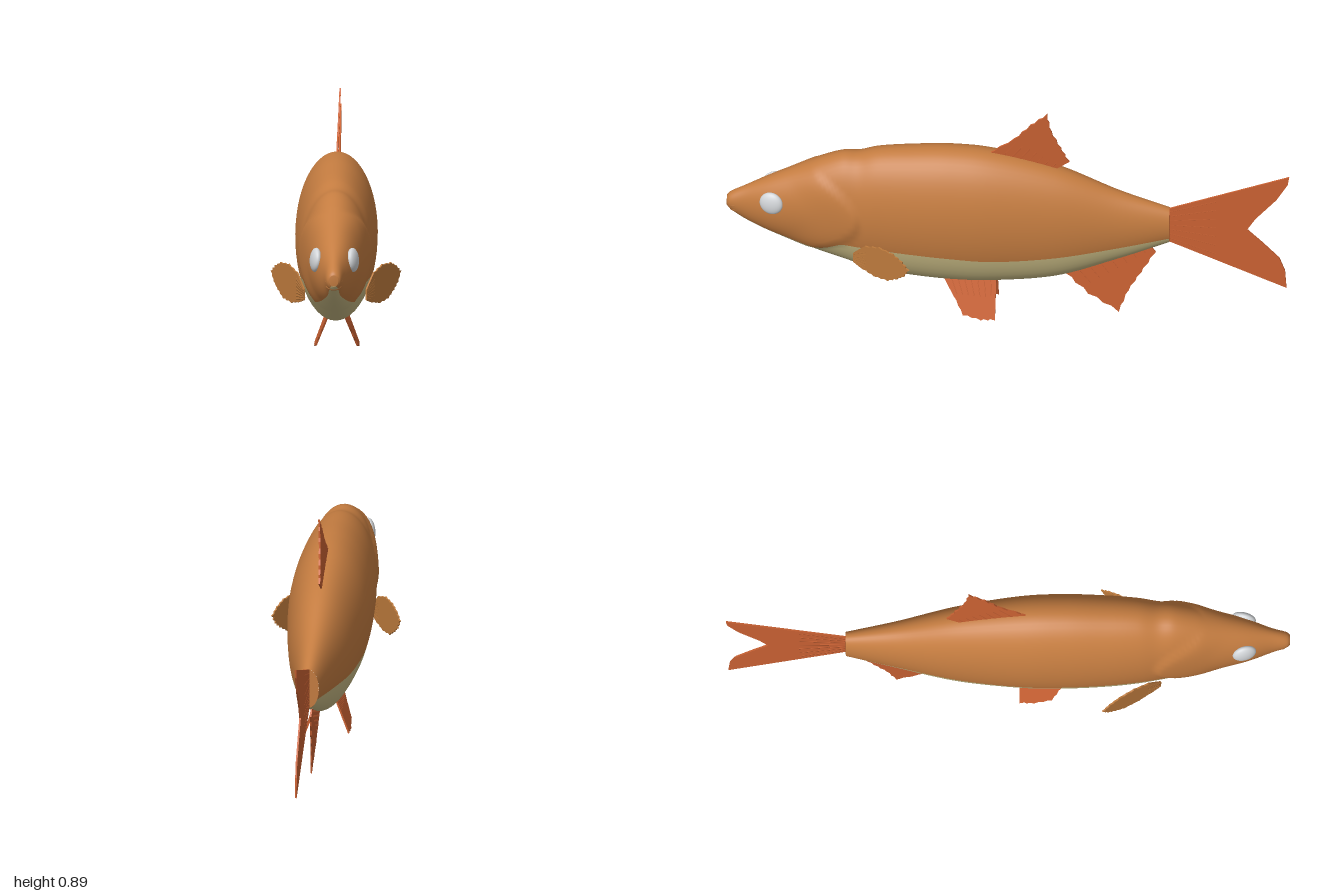
import * as THREE from 'three';

const mat = (name, color, side = THREE.FrontSide) => {
  const m = new THREE.MeshStandardMaterial({ color, side });
  m.name = name;
  return m;
};

// Body stations from snout to tail root: z, top, bottom, half width, colour line
const STATIONS = [
  [1.0, 0.452, 0.412, 0.016, 0.414],
  [0.985, 0.468, 0.395, 0.027, 0.402],
  [0.93, 0.5, 0.355, 0.04, 0.367],
  [0.84, 0.55, 0.312, 0.07, 0.333],
  [0.72, 0.612, 0.265, 0.096, 0.3],
  [0.66, 0.642, 0.242, 0.106, 0.295],
  [0.59, 0.668, 0.218, 0.114, 0.332],
  [0.53, 0.672, 0.198, 0.122, 0.335],
  [0.46, 0.692, 0.18, 0.132, 0.335],
  [0.35, 0.706, 0.163, 0.141, 0.33],
  [0.2, 0.717, 0.153, 0.146, 0.322],
  [0.04, 0.706, 0.158, 0.141, 0.315],
  [-0.18, 0.65, 0.19, 0.114, 0.33],
  [-0.39, 0.562, 0.272, 0.072, 0.357],
  [-0.575, 0.5, 0.355, 0.037, 0.388],
];
const RINGS = 110, UPPER = 36, LOWER = 18, N = UPPER + LOWER;

// One smooth skin with a back colour and a belly colour
function bodyGeometry() {
  const spline = (f) => new THREE.CatmullRomCurve3(STATIONS.map(f), false, 'catmullrom', 0.5);
  const heights = spline((s) => new THREE.Vector3(s[0], s[1], s[2]));
  const widths = spline((s) => new THREE.Vector3(s[3], s[4], 0));
  const pos = [], upper = [], lower = [];
  for (let i = 0; i <= RINGS; i++) {
    const { x: z, y: top, z: bottom } = heights.getPoint(i / RINGS);
    const { x: w, y: line } = widths.getPoint(i / RINGS);
    const yc = (top + bottom) / 2, h = (top - bottom) / 2;
    const a = Math.asin(THREE.MathUtils.clamp((line - yc) / h, -0.99, 0.9));
    for (let j = 0; j < N; j++) {
      const t = j < UPPER
        ? a + (Math.PI - 2 * a) * (j / UPPER)
        : Math.PI - a + (Math.PI + 2 * a) * ((j - UPPER) / LOWER);
      const y = yc + h * Math.sin(t);
      // Gill cover: a raised plate ending in a curved rear edge
      const d = z - (0.52 + 6 * (y - 0.45) ** 2);
      const gill = 0.01 * THREE.MathUtils.smoothstep(d, -0.015, 0.02)
        * (1 - THREE.MathUtils.smoothstep(d, 0.03, 0.2));
      pos.push((w + gill) * Math.cos(t), y, z);
    }
  }
  for (let i = 0; i < RINGS; i++) {
    for (let j = 0; j < N; j++) {
      const k = (j + 1) % N, a = i * N + j, b = i * N + k;
      (j < UPPER ? upper : lower).push(a, a + N, b, b, a + N, b + N);
    }
  }
  // Snout tip
  pos.push(0, 0.432, 1.0);
  for (let j = 0; j < N; j++) upper.push((RINGS + 1) * N, j, (j + 1) % N);
  const g = new THREE.BufferGeometry();
  g.setAttribute('position', new THREE.Float32BufferAttribute(pos, 3));
  g.setIndex([...upper, ...lower]);
  g.addGroup(0, upper.length, 0);
  g.addGroup(upper.length, lower.length, 1);
  g.computeVertexNormals();
  return g;
}

// Thin fin in the z-y plane; segments from..to get a ragged edge
function finGeometry(pts, from, to, teeth = 4, depth = 0.006) {
  const c = pts.reduce((s, p) => [s[0] + p[0] / pts.length, s[1] + p[1] / pts.length], [0, 0]);
  const out = [];
  pts.forEach((p, i) => {
    const q = pts[(i + 1) % pts.length];
    const n = i >= from && i < to ? teeth : 1;
    for (let k = 0; k < n; k++) {
      const v = new THREE.Vector2(...p).lerp(new THREE.Vector2(...q), k / n);
      if (k % 2) v.lerp(new THREE.Vector2(...c), 0.06);
      out.push(v);
    }
  });
  const g = new THREE.ExtrudeGeometry(new THREE.Shape(out), { depth, bevelEnabled: false });
  g.translate(0, 0, -depth / 2);
  g.rotateY(-Math.PI / 2);
  return g;
}

export function createModel() {
  const fish = new THREE.Group();
  fish.name = 'fish';
  const back = mat('copper back', 0xc47c40);
  const belly = mat('cream belly', 0xc8ba84);
  const orange = mat('orange fin', 0xcb6233, THREE.DoubleSide);
  const brownFin = mat('brown fin', 0xbd7a3c, THREE.DoubleSide);
  const white = mat('eye white', 0xd2d5d8);

  const add = (name, geometry, material, parent = fish) => {
    const m = new THREE.Mesh(geometry, material);
    m.name = name;
    parent.add(m);
    return m;
  };

  // Fin pivoting at its root, with raised rays fanning from base line to tip line
  const addFin = (name, pts, root, material, ragged, rays) => {
    const g = new THREE.Group();
    g.name = name;
    g.position.set(...root);
    const local = (p) => [p[0] - root[2], p[1] - root[1]];
    add(name + 'Web', finGeometry(pts.map(local), ...ragged), material, g);
    const [b0, b1, t0, t1] = rays.map((p) => new THREE.Vector3(0, ...local(p).reverse()));
    for (let i = 0; i < 7; i++) {
      const p = b0.clone().lerp(b1, i / 6), q = t0.clone().lerp(t1, i / 6);
      const end = p.clone().lerp(q, 0.45);
      add(name + 'Ray', new THREE.TubeGeometry(new THREE.LineCurve3(p, end), 1, 0.0042, 5), material, g);
    }
    fish.add(g);
    return g;
  };

  add('body', bodyGeometry(), [back, belly]);
  const cap = add('tailRootCap', new THREE.CircleGeometry(1, 32), back);
  cap.scale.set(0.037, 0.0725, 1);
  cap.rotation.y = Math.PI;
  cap.position.set(0, 0.4275, -0.575);

  // Lips
  for (const [name, y, z, r] of [['upperLip', 0.428, 0.97, 0.023], ['lowerLip', 0.408, 0.963, 0.021]]) {
    const g = new THREE.TorusGeometry(r, 0.008, 8, 20, Math.PI);
    g.rotateX(Math.PI / 2 + 0.25);
    add(name, g, back).position.set(0, y, z);
  }

  // Single fins
  addFin('tailFin', [
    [-0.56, 0.36], [-0.56, 0.495], [-0.7, 0.55], [-1, 0.668], [-0.995, 0.635], [-0.955, 0.565], [-0.88, 0.475],
    [-0.85, 0.425], [-0.905, 0.37], [-0.965, 0.305], [-0.985, 0.25], [-0.99, 0.175], [-0.7, 0.3],
  ], [0, 0.43, -0.56], orange, [0, 0], [[-0.56, 0.375], [-0.56, 0.48], [-0.96, 0.23], [-0.96, 0.62]]);
  addFin('dorsalFin', [
    [0.08, 0.66], [0.08, 0.698], [-0.02, 0.775], [-0.08, 0.845], [-0.14, 0.9],
    [-0.155, 0.82], [-0.19, 0.745], [-0.218, 0.685], [-0.165, 0.645], [-0.12, 0.62],
  ], [0, 0.69, -0.05], orange, [1, 7], [[0.03, 0.68], [-0.15, 0.645], [-0.1, 0.86], [-0.2, 0.72]])
    .rotation.z = -0.045;
  addFin('analFin', [
    [-0.2, 0.23], [-0.195, 0.195], [-0.285, 0.105], [-0.395, 0.033], [-0.43, 0.13],
    [-0.475, 0.21], [-0.525, 0.3], [-0.5, 0.335],
  ], [0, 0.25, -0.35], orange, [1, 6], [[-0.24, 0.225], [-0.48, 0.315], [-0.36, 0.07], [-0.5, 0.27]])
    .rotation.z = 0.045;

  // Paired fins and eyes
  for (const [side, s] of [['left', 1], ['right', -1]]) {
    addFin(side + 'PelvicFin', [
      [0.225, 0.175], [0.225, 0.155], [0.19, 0.09], [0.155, 0.02], [0.09, 0.004], [0.04, 0.007], [0.04, 0.18],
    ], [s * 0.025, 0.16, 0.13], orange, [2, 5], [[0.2, 0.16], [0.06, 0.16], [0.15, 0.02], [0.05, 0.01]])
      .rotation.z = s * 0.35;

    addFin(side + 'PectoralFin', [
      [0.54, 0.27], [0.54, 0.31], [0.49, 0.362], [0.43, 0.382], [0.37, 0.378], [0.33, 0.36],
      [0.3, 0.335], [0.32, 0.3], [0.35, 0.275], [0.39, 0.25], [0.45, 0.244], [0.5, 0.255],
    ], [s * 0.11, 0.29, 0.54], brownFin, [2, 11], [[0.54, 0.275], [0.54, 0.305], [0.42, 0.25], [0.42, 0.375]])
      .rotation.y = -s * 0.52;

    const eye = add(side + 'Eye', new THREE.SphereGeometry(0.043, 28, 20), white);
    eye.scale.set(0.45, 1, 1);
    eye.rotation.set(0, -s * 0.24, s * 0.1);
    eye.position.set(s * 0.066, 0.476, 0.837);
  }
  return fish;
}
